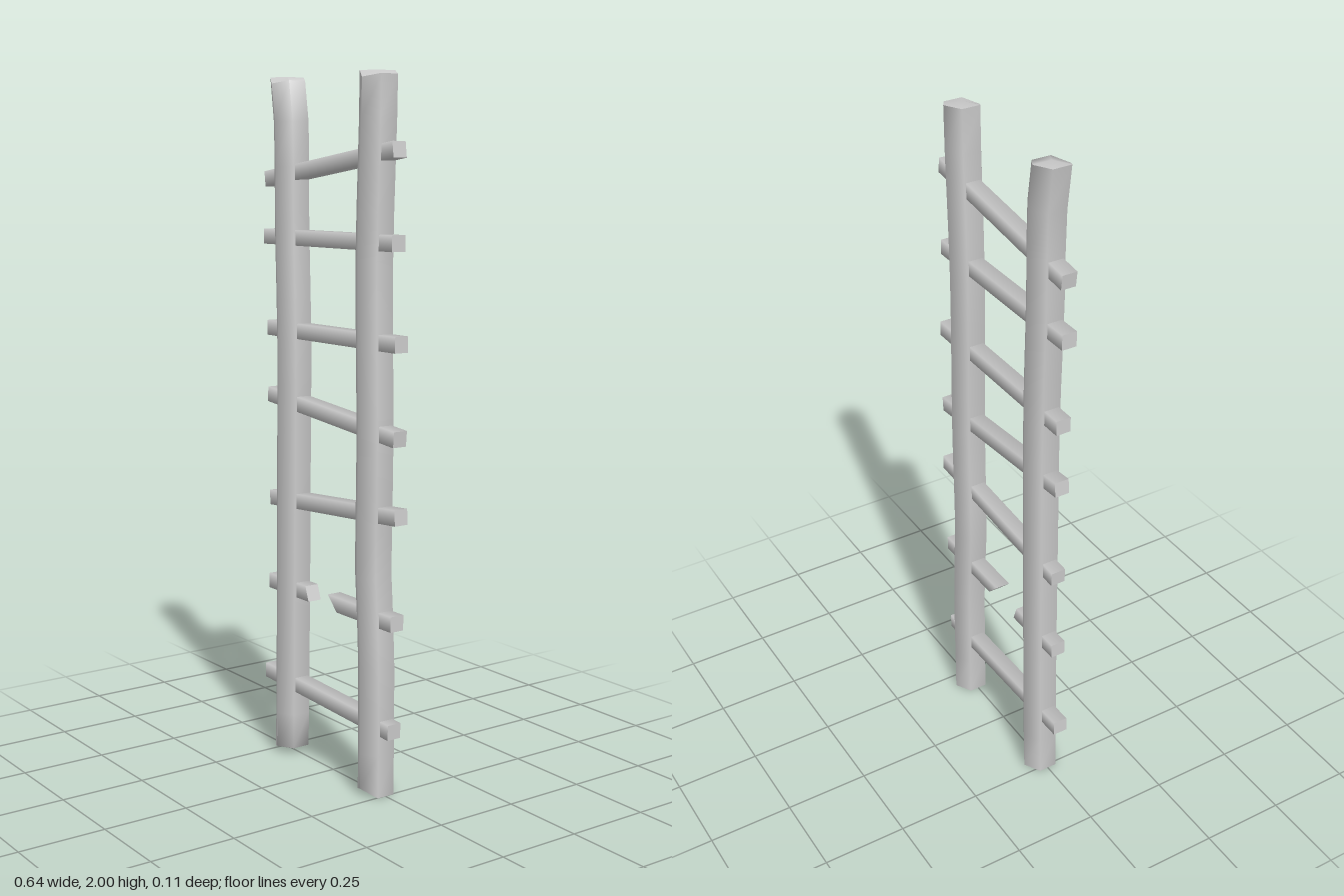
import * as THREE from 'three';
import { toCreasedNormals } from 'three/addons/utils/BufferGeometryUtils.js';

const material = new THREE.MeshStandardMaterial({ color: 0xcccccc });

// Crooked six-sided pole following [x, y] points, with roughly hewn ends
function makeRail(name, points, tiltTop, tiltBottom) {
  const curve = new THREE.SplineCurve(points.map(([x, y]) => new THREE.Vector2(x, y)));
  const samples = curve.getPoints(200);
  const centreX = (y) => samples.reduce((a, b) => (Math.abs(b.y - y) < Math.abs(a.y - y) ? b : a)).x;

  const geometry = new THREE.CylinderGeometry(0.055, 0.055, 2, 6, 16).translate(0, 1, 0);
  const pos = geometry.attributes.position;
  for (let i = 0; i < pos.count; i++) {
    const x = pos.getX(i), y = pos.getY(i), z = pos.getZ(i);
    const chip = z > 0.05 ? 0.02 : 0; // front corner is cut back
    const side = Math.max(0, x) / 0.048;
    let newY = y;
    if (y > 1.999) newY -= Math.max(chip, side * tiltTop);
    if (y < 0.001) newY += Math.max(chip, side * tiltBottom);
    pos.setXYZ(i, x + centreX(y), newY, z);
  }
  const mesh = new THREE.Mesh(toCreasedNormals(geometry, 1.2), material);
  mesh.name = name;
  return mesh;
}

// Square bar from (x0, y0) to (x1, y1); slants shear the start and end cuts
function makeRung(name, [x0, y0, x1, y1, slant0 = 0, slant1 = 0]) {
  const length = Math.hypot(x1 - x0, y1 - y0);
  const geometry = new THREE.CylinderGeometry(0.031, 0.031, length, 4, 1, false, Math.PI / 4);
  geometry.rotateZ(-Math.PI / 2);
  const pos = geometry.attributes.position, normal = geometry.attributes.normal;
  for (let i = 0; i < pos.count; i++) {
    const slant = pos.getX(i) < 0 ? slant0 : slant1;
    pos.setX(i, pos.getX(i) + slant * pos.getY(i));
    const nx = normal.getX(i);
    if (Math.abs(nx) > 0.9) {
      const k = nx / Math.hypot(1, slant);
      normal.setXYZ(i, k, -slant * k, 0);
    }
  }
  const mesh = new THREE.Mesh(geometry, material);
  mesh.name = name;
  mesh.position.set((x0 + x1) / 2, (y0 + y1) / 2, 0);
  mesh.rotation.z = Math.atan2(y1 - y0, x1 - x0);
  return mesh;
}

export function createModel() {
  const ladder = new THREE.Group();
  ladder.name = 'ladder';

  // Side rails
  ladder.add(
    makeRail('rightRail', [[-0.215, 0], [-0.21, 0.25], [-0.205, 0.5], [-0.2, 0.9], [-0.196, 1.25],
      [-0.205, 1.6], [-0.205, 1.84], [-0.224, 2]], 0.012, 0.02),
    makeRail('leftRail', [[0.206, 0], [0.206, 0.4], [0.191, 0.65], [0.196, 1], [0.19, 1.5],
      [0.203, 1.85], [0.206, 2]], 0.012, 0),
  );

  // Whole rungs, bottom to top
  const rungs = [
    [-0.325, 0.225, 0.29, 0.2],
    [-0.295, 0.77, 0.315, 0.812],
    [-0.303, 1.082, 0.308, 1.025],
    [-0.303, 1.28, 0.312, 1.28],
    [-0.32, 1.547, 0.297, 1.547],
    [-0.312, 1.713, 0.298, 1.792],
  ];
  rungs.forEach((r, i) => ladder.add(makeRung(`rung${i + 1}`, r)));

  // Snapped rung
  ladder.add(
    makeRung('brokenRungRight', [-0.303, 0.512, -0.102, 0.512, 0, -0.35]),
    makeRung('brokenRungLeft', [0.025, 0.512, 0.3, 0.512, -1, 0]),
  );
  return ladder;
}
